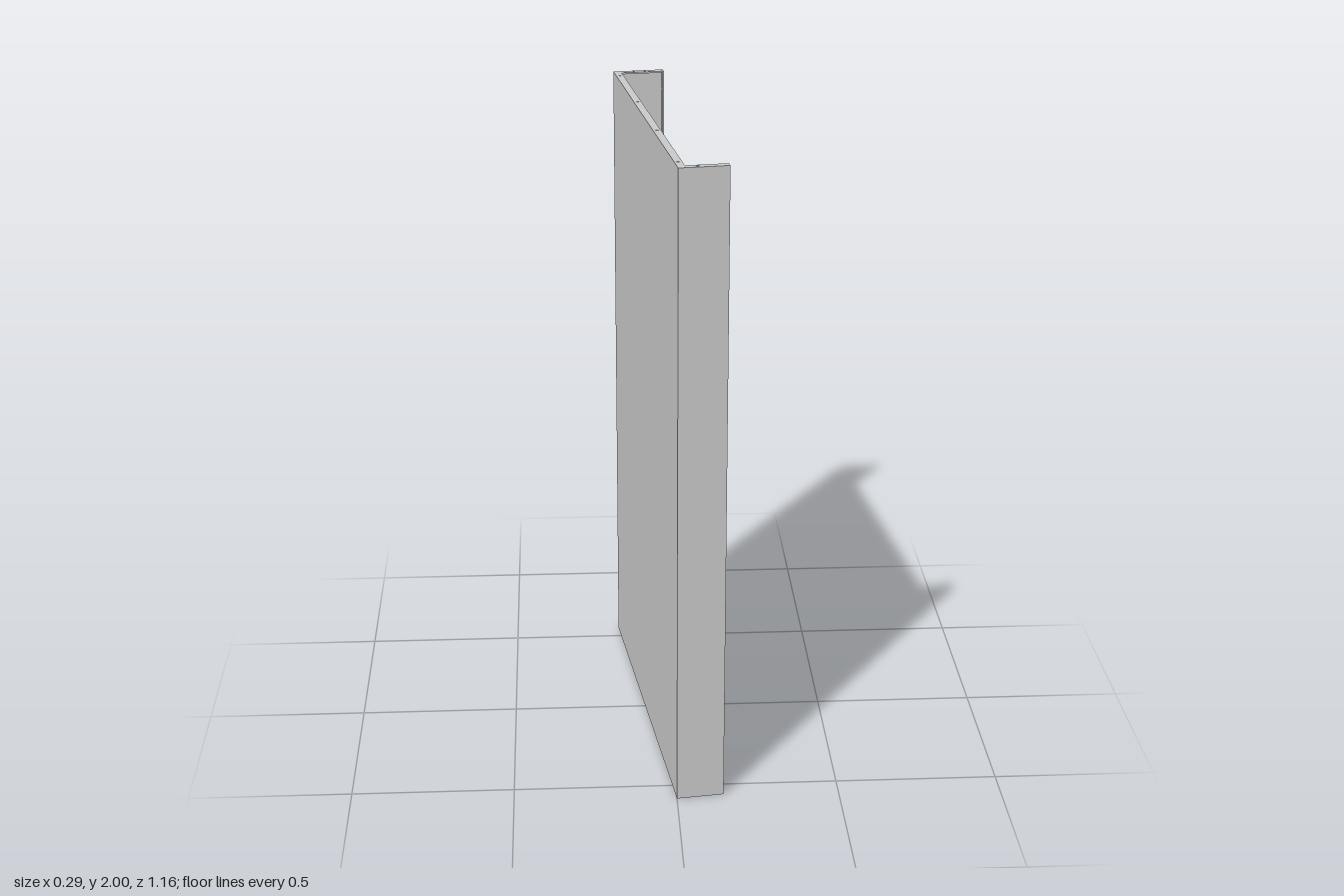
import * as THREE from 'three';

export function createModel() {
  const model = new THREE.Group();
  const material = new THREE.MeshStandardMaterial({ color: 0xcccccc });

  const T = 0.005;        // sheet thickness
  const W = 0.023;        // width of the folded lips
  const H = 0.5725;       // half length of the panel
  const TOP = 2;
  const FLANGE = 0.146;   // depth of the full-height flange
  const TAB = 0.16;       // depth of the short tab
  const TAB_Y = 1.685;    // underside of the tab
  const M = W / 2;        // hole line in a lip

  // Axes of a sheet lying square to x, y or z: two in the plane, one through it
  const X = new THREE.Vector3(1, 0, 0);
  const Y = new THREE.Vector3(0, 1, 0);
  const Z = new THREE.Vector3(0, 0, 1);
  const bases = { x: [Y, Z, X], y: [Z, X, Y], z: [X, Y, Z] };

  // Flat sheet with small round holes, starting at `at` along its normal axis
  function sheet(name, axis, at, points, holes = []) {
    const shape = new THREE.Shape(points.map(([u, v]) => new THREE.Vector2(u, v)));
    for (const [u, v] of holes) {
      shape.holes.push(new THREE.Path().absarc(u, v, 0.0042, 0, Math.PI * 2, true));
    }
    const geometry = new THREE.ExtrudeGeometry(shape, { depth: T, bevelEnabled: false, curveSegments: 10 });
    geometry.translate(0, 0, at);
    geometry.applyMatrix4(new THREE.Matrix4().makeBasis(...bases[axis]));
    const mesh = new THREE.Mesh(geometry, material);
    mesh.name = name;
    model.add(mesh);
  }
  const rect = (u0, v0, u1, v1) => [[u0, v0], [u1, v0], [u1, v1], [u0, v1]];
  const row = (start, step, count) => Array.from({ length: count }, (_, i) => start + i * step);

  // Main faces
  sheet('panel', 'x', 0, rect(0, -H, TOP, H));
  sheet('frontFlange', 'z', H - T, rect(0, 0, FLANGE, TOP));
  sheet('backTab', 'z', -H, rect(0, TAB_Y, TAB, TOP));

  // Top and bottom lips of the panel and front flange, mitred at the corners
  for (const [side, y] of [['Bottom', 0], ['Top', TOP - T]]) {
    sheet(`panel${side}Lip`, 'y', y,
      [[-H, 0], [H, 0], [H - W, W], [-H + W, W]],
      row(-0.51, 0.34, 4).map((z) => [z, M]));
    sheet(`frontFlange${side}Lip`, 'y', y,
      [[H, 0], [H, FLANGE], [H - W, FLANGE], [H - W, W]], [[H - M, 0.057]]);
  }

  // Top and bottom lips of the tab
  for (const [side, y] of [['Bottom', TAB_Y], ['Top', TOP - T]]) {
    sheet(`backTab${side}Lip`, 'y', y,
      [[-H, 0], [-H + W, W], [-H + W, TAB], [-H, TAB]],
      [[-H + M, 0.064], [-H + M, 0.1]]);
  }

  // Vertical lips
  sheet('frontFlangeEdgeLip', 'x', FLANGE - T, rect(0, H - W, TOP, H),
    row(0.065, 0.375, 6).map((y) => [y, H - M]));
  sheet('backTabEdgeLip', 'x', TAB - T, rect(TAB_Y, -H, TOP, -H + W),
    [[1.75, -H + M], [1.94, -H + M]]);
  sheet('panelBackLip', 'z', -H, rect(0, 0, W, TAB_Y - 0.004),
    row(0.065, 0.39, 5).map((y) => [M, y]));

  // The whole piece stands slightly turned
  model.rotation.y = Math.atan2(0.145, 1.136);
  model.position.set(-0.0725, 0, 0.009);

  const root = new THREE.Group();
  root.name = 'foldedSheetPanel';
  model.name = 'sheetParts';
  root.add(model);
  return root;
}
